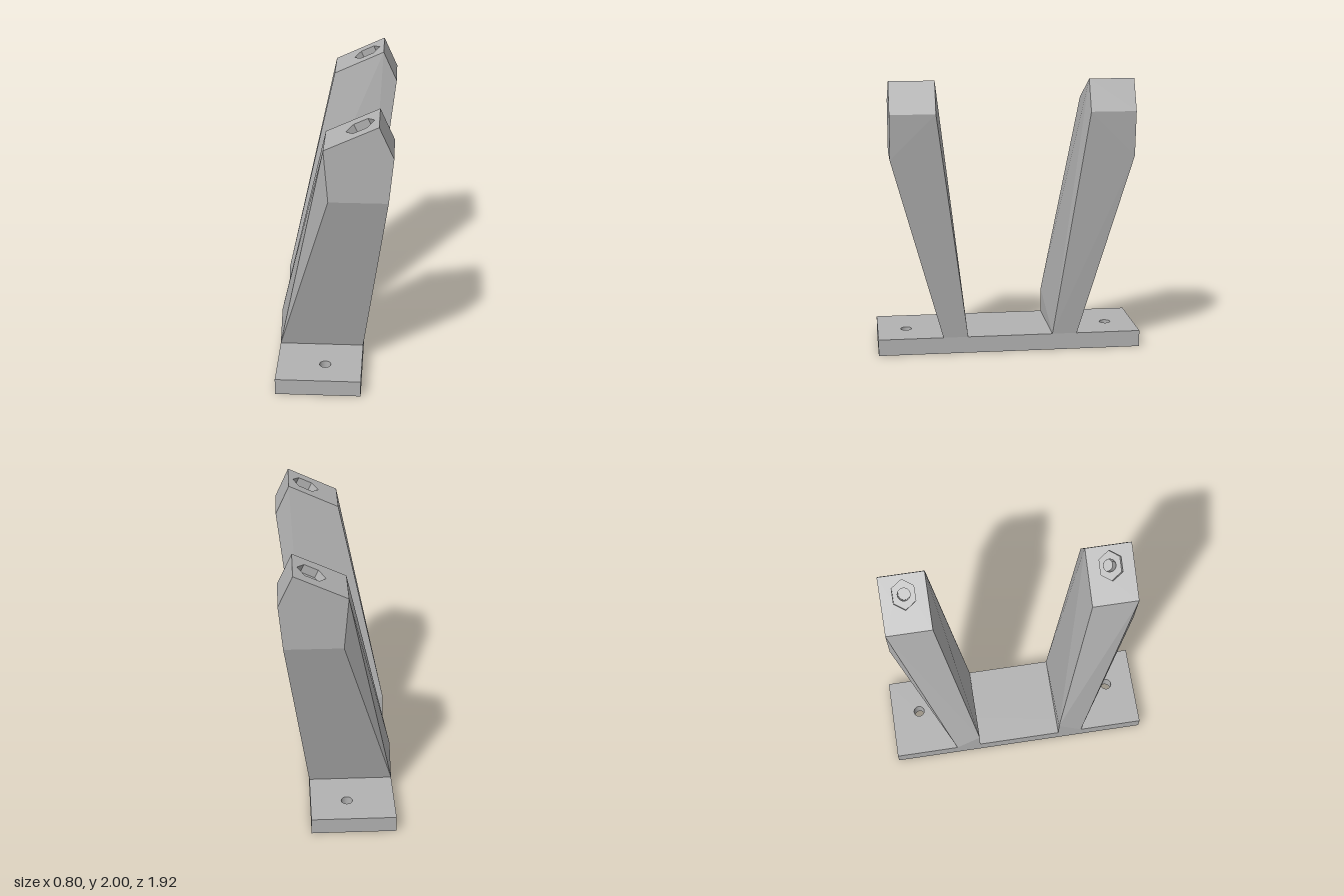
import * as THREE from 'three';
import { ConvexGeometry } from 'three/addons/geometries/ConvexGeometry.js';

const SLOPE = Math.atan2(0.17, 0.36); // tilt of the top faces
const TOP_LENGTH = Math.hypot(0.17, 0.36);

function rectangle(w, h) {
  return new THREE.Shape([
    new THREE.Vector2(-w / 2, -h / 2), new THREE.Vector2(w / 2, -h / 2),
    new THREE.Vector2(w / 2, h / 2), new THREE.Vector2(-w / 2, h / 2),
  ]);
}

function circle(x, y, r) {
  return new THREE.Path().absarc(x, y, r, 0, Math.PI * 2, true);
}

// Elongated hexagon with its points along x
function hexagon(cx) {
  const pts = [];
  for (let i = 0; i < 6; i++) {
    const a = i * Math.PI / 3;
    pts.push(new THREE.Vector2(cx + 0.104 * Math.cos(a), 0.0866 * Math.sin(a)));
  }
  return pts;
}

// Tapered leg body, left open where the pocketed top face goes
function legBody(s) {
  const corners = [
    // foot
    [-0.4, 0.12, 0.31], [-0.4, 0.3, 0.31], [0.2, 0.12, 0.31],
    [-0.4, 0.12, 0.49], [0.2, 0.12, 0.49],
    // inner side of the head
    [-0.06, 1.83, 0.54], [0.3, 2, 0.54], [0.4, 1.78, 0.54],
    // outer side of the head
    [-0.06, 1.83, 0.86], [0.3, 2, 0.86], [0.4, 1.78, 0.86],
    [-0.03, 1.46, 0.86], [0.37, 1.46, 0.86],
  ].map(([x, y, z]) => new THREE.Vector3(x, y, z * s));
  const hull = new ConvexGeometry(corners);
  const pos = hull.attributes.position;
  const up = new THREE.Vector3(-Math.sin(SLOPE), Math.cos(SLOPE), 0);
  const kept = [];
  const tri = new THREE.Triangle();
  const n = new THREE.Vector3();
  for (let i = 0; i < pos.count; i += 3) {
    tri.setFromAttributeAndIndices(pos, i, i + 1, i + 2);
    if (tri.getNormal(n).dot(up) > 0.99) continue;
    for (const p of [tri.a, tri.b, tri.c]) kept.push(p.x, p.y, p.z);
  }
  const geo = new THREE.BufferGeometry();
  geo.setAttribute('position', new THREE.Float32BufferAttribute(kept, 3));
  geo.computeVertexNormals();
  return geo;
}

export function createModel() {
  const model = new THREE.Group();
  const grey = new THREE.MeshStandardMaterial({ color: 0xb2b2b2, side: THREE.DoubleSide });
  grey.name = 'grey';

  const add = (parent, name, geo) => {
    const mesh = new THREE.Mesh(geo, grey);
    mesh.name = name;
    parent.add(mesh);
    return mesh;
  };

  // Base plate with two screw holes
  const plate = rectangle(0.6, 1.92);
  plate.holes.push(circle(0.04, 0.75, 0.04), circle(0.04, -0.75, 0.04));
  const plateGeo = new THREE.ExtrudeGeometry(plate, { depth: 0.12, bevelEnabled: false, curveSegments: 24 });
  plateGeo.rotateX(-Math.PI / 2).translate(-0.1, 0, 0);
  add(model, 'basePlate', plateGeo);

  for (const s of [1, -1]) {
    const leg = new THREE.Group();
    leg.name = s > 0 ? 'frontLeg' : 'backLeg';
    model.add(leg);
    add(leg, 'legBody', legBody(s));

    // Sloping top with a hexagonal pocket and a bolt hole
    const head = new THREE.Group();
    head.name = 'legTop';
    head.position.set(0.12, 1.915, 0.7 * s);
    head.rotation.z = SLOPE;
    leg.add(head);

    const cx = 0.06, depth = 0.06, bore = 0.16;
    const top = rectangle(TOP_LENGTH, 0.32);
    top.holes.push(new THREE.Path(hexagon(cx).reverse()));
    add(head, 'topFace', new THREE.ShapeGeometry(top).rotateX(-Math.PI / 2));

    const walls = new THREE.CylinderGeometry(0.0866, 0.0866, depth, 6, 1, true, Math.PI / 6).toNonIndexed();
    walls.scale(1.2, 1, 1).translate(cx, -depth / 2, 0);
    walls.computeVertexNormals();
    add(head, 'pocketWalls', walls);

    const floor = new THREE.Shape(hexagon(cx));
    floor.holes.push(circle(cx, 0, 0.043));
    add(head, 'pocketFloor', new THREE.ShapeGeometry(floor, 24).rotateX(-Math.PI / 2).translate(0, -depth, 0));

    add(head, 'boltHole', new THREE.CylinderGeometry(0.043, 0.043, bore, 24, 1, true)
      .translate(cx, -depth - bore / 2, 0));
    add(head, 'boltHoleEnd', new THREE.CircleGeometry(0.043, 24)
      .rotateX(-Math.PI / 2).translate(cx, -depth - bore, 0));
  }
  return model;
}
